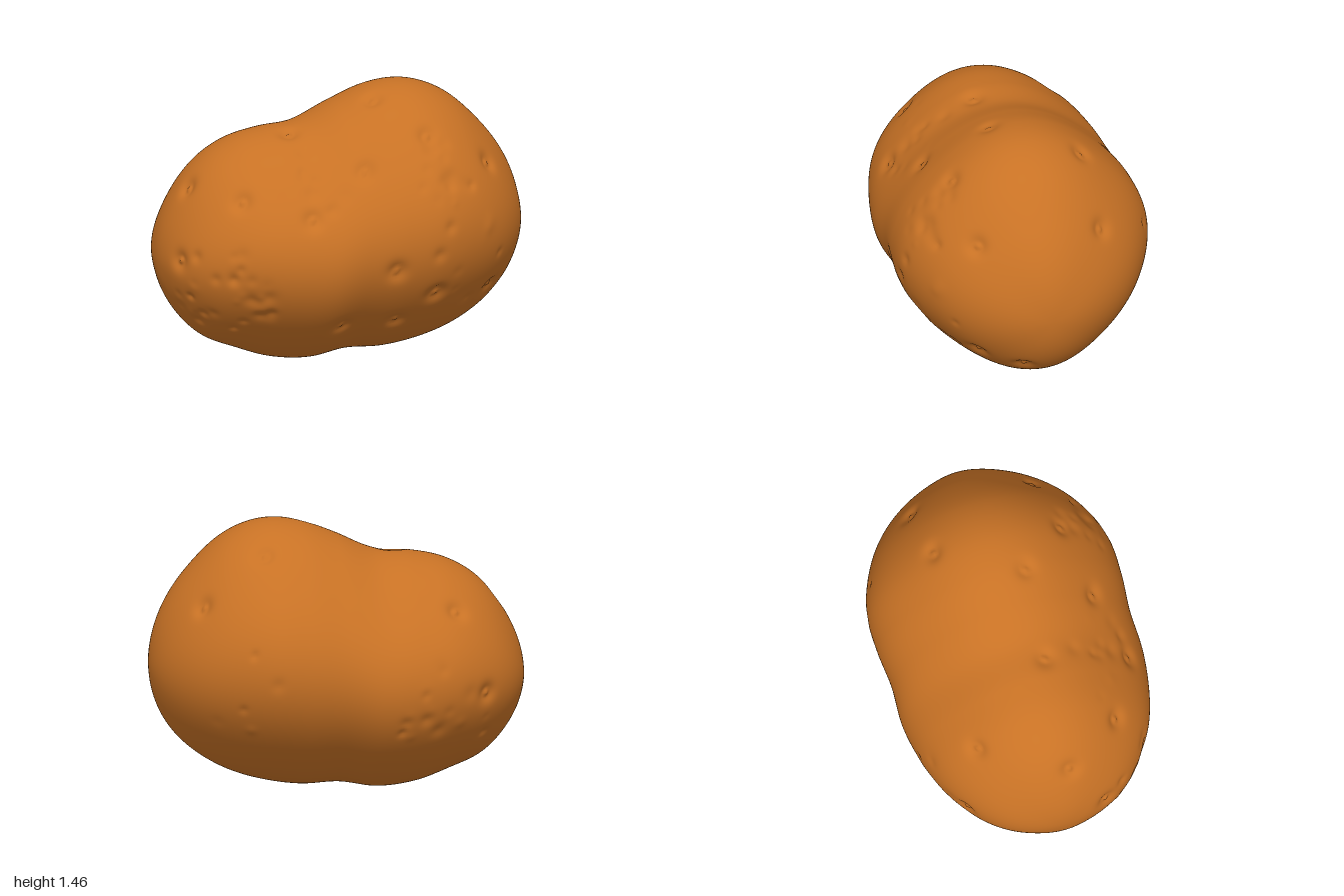
import * as THREE from 'three';

// Body stations from x = -1 to 1: centre height, height fullness, depth fullness
const stations = new THREE.CatmullRomCurve3([
  [0.6, 0.69, 0.8], [0.63, 0.73, 0.75], [0.65, 0.7, 0.725], [0.64, 0.676, 0.7],
  [0.64, 0.653, 0.684], [0.70, 0.67, 0.665], [0.735, 0.725, 0.695], [0.756, 0.765, 0.735],
  [0.75, 0.787, 0.75], [0.72, 0.785, 0.758], [0.69, 0.8, 0.74],
].map((p) => new THREE.Vector3(...p)), false, 'catmullrom', 0.5);

function section(x) {
  const p = stations.getPoint(THREE.MathUtils.clamp((x + 1) / 2, 0, 1));
  const s = Math.sqrt(Math.max(0, 1 - x * x));
  return { c: p.x, h: p.y * s, d: p.z * s };
}

// Point on the smooth skin; the shoulders of each ring are slightly flattened
function skin(x, a) {
  const { c, h, d } = section(x);
  const k = 1 - 0.06 * Math.sin(2 * a) ** 2;
  return new THREE.Vector3(x, c + h * k * Math.cos(a), d * k * Math.sin(a));
}

// Skin point at a given x and height, on the front (side 1) or back (side -1)
function skinAt(x, y, side) {
  const { c, h } = section(x);
  return skin(x, side * Math.acos(THREE.MathUtils.clamp((y - c) / h, -1, 1)));
}

function seeded(seed) {
  return () => {
    seed = (seed * 16807) % 2147483647;
    return seed / 2147483647;
  };
}

// Eyes: x, y, side
const eyes = [
  [0.38, 1.30, 1], [0.13, 0.61, 1], [0.37, 0.43, 1], [-0.13, 0.26, 1], [-0.65, 1.01, 1],
  [0.73, 1.10, 1], [-0.31, 0.92, 1], [0.01, 1.15, 1], [-0.95, 0.65, 1], [0.18, 0.25, 1],
  [0.42, 1.37, -1], [-0.85, 1.0, 1], [-0.3, 1.26, 1], [0.16, 1.42, 1], [0.75, 1.1, -1],
  [0.85, 0.32, 1], [0.74, 0.37, 1], [-0.75, 0.6, -1], [-0.6, 1.05, -1],
];

function makeDents() {
  const rnd = seeded(71);
  const dents = eyes.map(([x, y, side]) => ({ p: skinAt(x, y, side), r: 0.05, depth: 0.028, eye: true }));
  // Small chips scattered in patches: x, y, spread, side, count
  const patches = [
    [-0.72, 0.5, 0.26, 1, 45], [0.45, 1.1, 0.17, 1, 24], [0.55, 0.6, 0.3, 1, 14],
    [-0.3, 1.15, 0.25, 1, 12], [-0.5, 0.5, 0.3, -1, 20], [0.55, 0.65, 0.25, -1, 6],
  ];
  for (const [x, y, spread, side, count] of patches) {
    for (let i = 0; i < count; i++) {
      const a = rnd() * Math.PI * 2, q = Math.sqrt(rnd()) * spread;
      const px = THREE.MathUtils.clamp(x + q * Math.cos(a), -0.97, 0.97);
      dents.push({
        p: skinAt(px, y + q * Math.sin(a), side),
        r: 0.02 + rnd() * 0.025,
        depth: (rnd() - 0.25) * 0.016,
      });
    }
  }
  return dents;
}

function potatoGeometry(rings = 240, sides = 260) {
  const dents = makeDents();
  const pos = [], index = [];
  const add = (x, a) => {
    const v = skin(x, a);
    const inward = new THREE.Vector3(x * 0.6, section(x).c, 0).sub(v).normalize();
    let sink = 0;
    for (const { p, r, depth, eye } of dents) {
      const d2 = v.distanceToSquared(p);
      if (d2 > r * r * 6) continue;
      sink += depth * Math.exp(-d2 / (r * r));
      // Raised bud in the middle of each eye
      if (eye) sink -= 0.02 * Math.exp(-d2 / (0.018 * 0.018));
    }
    v.addScaledVector(inward, sink);
    pos.push(v.x, v.y, v.z);
  };

  // Rings packed towards both rounded ends, with one shared point at each end
  add(-1, 0);
  for (let i = 1; i < rings; i++) {
    for (let j = 0; j < sides; j++) add(-Math.cos((Math.PI * i) / rings), (2 * Math.PI * j) / sides);
  }
  add(1, 0);

  const at = (i, j) => 1 + (i - 1) * sides + (j % sides);
  const last = 1 + (rings - 1) * sides;
  for (let j = 0; j < sides; j++) {
    index.push(0, at(1, j + 1), at(1, j));
    for (let i = 1; i < rings - 1; i++) {
      index.push(at(i, j), at(i, j + 1), at(i + 1, j));
      index.push(at(i, j + 1), at(i + 1, j + 1), at(i + 1, j));
    }
    index.push(at(rings - 1, j), at(rings - 1, j + 1), last);
  }
  const g = new THREE.BufferGeometry();
  g.setAttribute('position', new THREE.Float32BufferAttribute(pos, 3));
  g.setIndex(index);
  g.computeVertexNormals();
  return g;
}

export function createModel() {
  const group = new THREE.Group();
  group.name = 'potato';
  const skinMaterial = new THREE.MeshStandardMaterial({ color: 0xc87225 });
  skinMaterial.name = 'potato skin brown';
  const body = new THREE.Mesh(potatoGeometry(), skinMaterial);
  body.name = 'potatoBody';
  group.add(body);
  return group;
}
